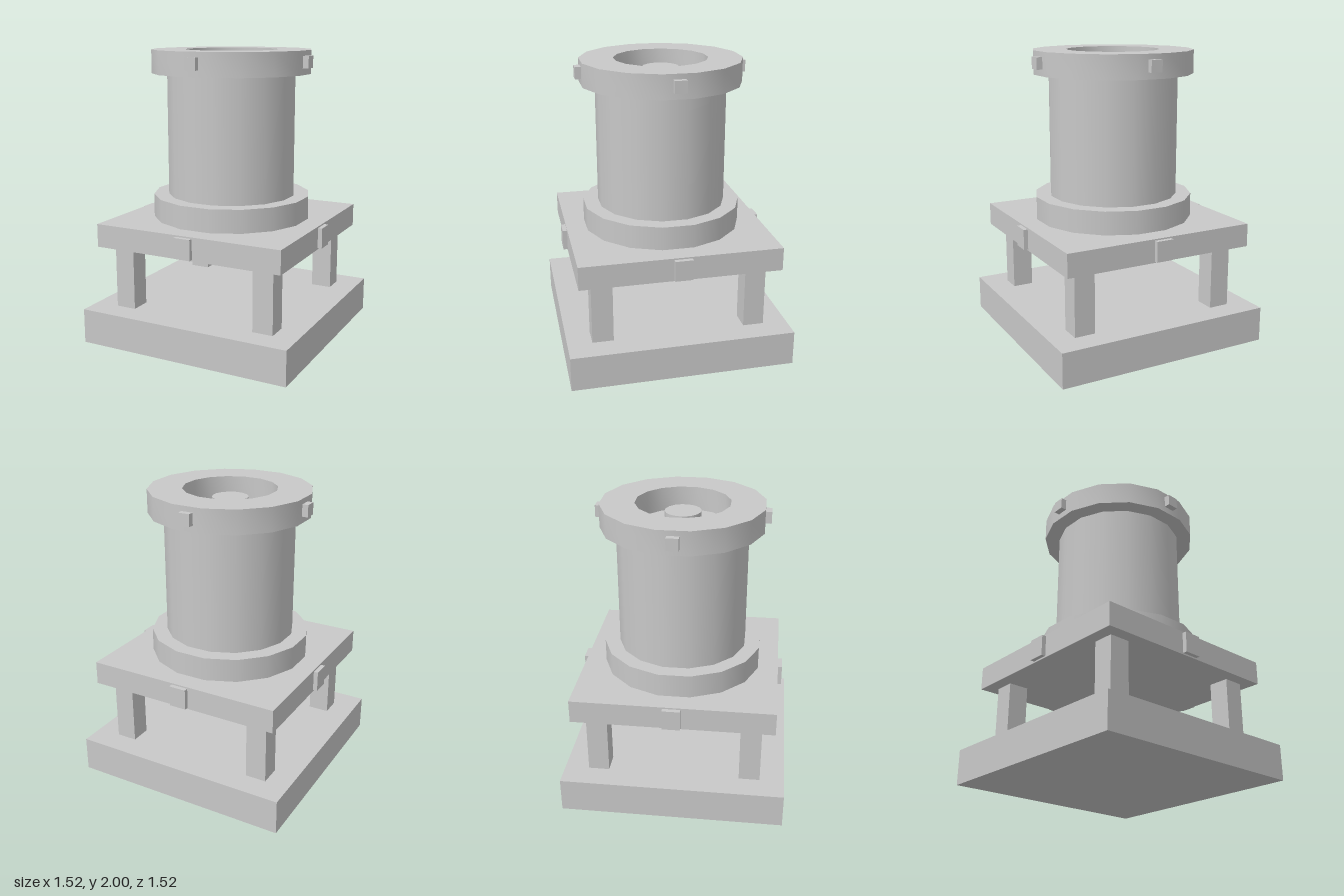
import * as THREE from 'three';
import { toCreasedNormals } from 'three/addons/utils/BufferGeometryUtils.js';

const SIDES = 16;
const TURN = Math.PI / SIDES; // puts a flat side towards each axis

export function createModel() {
  const model = new THREE.Group();
  const grey = new THREE.MeshStandardMaterial({ color: 0xc8c8c8 });
  grey.name = 'light grey';

  const add = (name, geometry, x, y, z) => {
    const mesh = new THREE.Mesh(geometry, grey);
    mesh.name = name;
    mesh.position.set(x, y, z);
    model.add(mesh);
    return mesh;
  };
  // Box and cylinder given by their bottom and top heights
  const slab = (name, w, y0, y1, x = 0, z = 0) =>
    add(name, new THREE.BoxGeometry(w, y1 - y0, w), x, (y0 + y1) / 2, z);
  const column = (name, r, y0, y1) =>
    add(name, new THREE.CylinderGeometry(r, r, y1 - y0, SIDES, 1, false, TURN), 0, (y0 + y1) / 2, 0);

  // Base, four legs and the platform
  slab('base', 1.52, 0, 0.24);
  for (const x of [-0.522, 0.522])
    for (const z of [-0.522, 0.522]) slab('leg', 0.143, 0.24, 0.68, x, z);
  slab('platform', 1.36, 0.68, 0.84);

  // Drum with its lower collar and the post in the top opening
  column('lowerCollar', 0.55, 0.84, 1.0);
  column('drum', 0.445, 1.0, 1.84);
  column('centrePost', 0.122, 1.84, 1.94);

  // Open upper collar
  const section = [[0.318, 0], [0.55, 0], [0.55, 0.16], [0.318, 0.16], [0.318, 0]]
    .map(([r, y]) => new THREE.Vector2(r, y));
  const ring = new THREE.LatheGeometry(section, SIDES, TURN);
  add('upperCollar', toCreasedNormals(ring, 0.6), 0, 1.84, 0);

  // Lugs on the collar and brackets on the platform, one per side
  for (let i = 0; i < 4; i++) {
    const a = (i * Math.PI) / 2;
    const around = (name, w, h, d, r, y) => {
      const mesh = add(name, new THREE.BoxGeometry(w, h, d), Math.sin(a) * r, y, Math.cos(a) * r);
      mesh.rotation.y = a;
    };
    around('collarLug', 0.08, 0.08, 0.08, 0.54, 1.925);
    around('platformBracket', 0.12, 0.14, 0.06, 0.68, 0.76);
  }
  return model;
}
